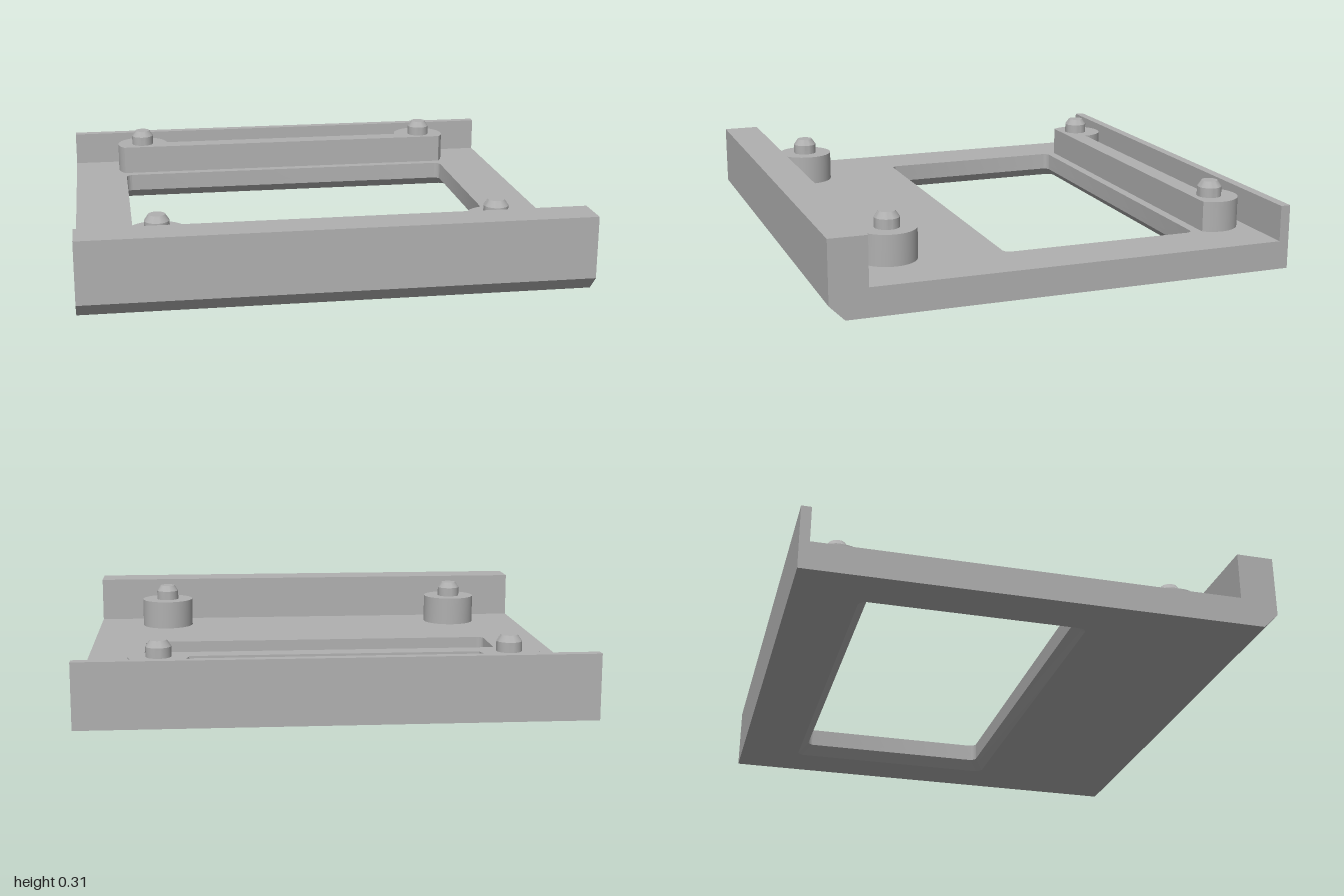
import * as THREE from 'three';
import { toCreasedNormals } from 'three/addons/utils/BufferGeometryUtils.js';

const PLATE_TOP = 0.115, BOSS_TOP = 0.24;
const WINDOW = { x: 0.765, z0: -0.64, z1: 0.18, r: 0.03, chamfer: 0.04 };

// Shapes are drawn in plan as (x, -z), then extruded upward from y0 to y1.
function extrudeUp(shape, y0, y1) {
  const g = new THREE.ExtrudeGeometry(shape, { depth: y1 - y0, bevelEnabled: false, curveSegments: 24 });
  return g.rotateX(-Math.PI / 2).translate(0, y0, 0);
}

function rectangle(path, x, z0, z1) {
  path.moveTo(-x, -z0);
  path.lineTo(x, -z0);
  path.lineTo(x, -z1);
  path.lineTo(-x, -z1);
  path.closePath();
  return path;
}

function windowPath() {
  const { x, z0, z1, r } = WINDOW, p = new THREE.Path();
  p.absarc(x - r, -z0 - r, r, 0, Math.PI / 2);
  p.absarc(-x + r, -z0 - r, r, Math.PI / 2, Math.PI);
  p.absarc(-x + r, -z1 + r, r, Math.PI, Math.PI * 1.5);
  p.absarc(x - r, -z1 + r, r, Math.PI * 1.5, Math.PI * 2);
  p.closePath();
  return p;
}

export function createModel() {
  const model = new THREE.Group();
  model.name = 'mountingTray';
  const grey = new THREE.MeshStandardMaterial({ color: 0xb0b0b0 });
  grey.name = 'plain grey';

  function add(name, geometry, x = 0, y = 0, z = 0) {
    const mesh = new THREE.Mesh(toCreasedNormals(geometry, 0.5), grey);
    mesh.name = name;
    mesh.position.set(x, y, z);
    model.add(mesh);
  }

  // Base plate in layers: chamfered window edge, solid web, recessed top
  function plateLayer(y0, y1, recessed) {
    const shape = rectangle(new THREE.Shape(), 1, -0.9, 0.79);
    shape.holes.push(windowPath());
    if (recessed) shape.holes.push(rectangle(new THREE.Path(), 0.31, -0.89, -0.76));
    return extrudeUp(shape, y0, y1);
  }
  const lower = plateLayer(0, WINDOW.chamfer, false);
  const pos = lower.attributes.position;
  const zc = (WINDOW.z0 + WINDOW.z1) / 2, hz = (WINDOW.z1 - WINDOW.z0) / 2;
  for (let i = 0; i < pos.count; i++) {
    // Widen the window at the underside
    const x = pos.getX(i), dz = pos.getZ(i) - zc;
    if (pos.getY(i) < 0.001 && Math.abs(x) < 0.8 && Math.abs(dz) < hz + 0.01) {
      pos.setX(i, x * (1 + WINDOW.chamfer / WINDOW.x));
      pos.setZ(i, zc + dz * (1 + WINDOW.chamfer / hz));
    }
  }
  add('plateBottom', lower);
  add('plateMiddle', plateLayer(WINDOW.chamfer, 0.06, false));
  add('plateTop', plateLayer(0.06, PLATE_TOP, true));

  // Tall front lip with a chamfered lower edge, profile in (-z, y)
  const lip = new THREE.Shape([[-0.79, 0], [-0.79, 0.31], [-0.94, 0.31], [-0.94, 0.06], [-0.88, 0]]
    .map(([a, b]) => new THREE.Vector2(a, b)));
  add('frontLip', new THREE.ExtrudeGeometry(lip, { depth: 2, bevelEnabled: false })
    .rotateY(Math.PI / 2).translate(-1, 0, 0));

  // Thin back wall
  add('backWall', new THREE.BoxGeometry(2, 0.26, 0.04), 0, 0.13, -0.92);

  // Rear rail with a rounded boss at each end, cut flat at the front
  const rail = new THREE.Shape(), r = 0.117, cut = Math.asin(0.075 / r), join = 0.043;
  rail.absarc(0.68, 0.755, r, -cut, Math.PI - join);
  rail.absarc(-0.68, 0.755, r, join, Math.PI + cut);
  rail.closePath();
  add('rearRail', extrudeUp(rail, PLATE_TOP, BOSS_TOP));

  // Front bosses, and a chamfered locating pin on every boss
  const pinProfile = [[0.05, 0], [0.05, 0.04], [0.033, 0.065], [0, 0.065]]
    .map(([a, b]) => new THREE.Vector2(a, b));
  for (const side of [-1, 1]) {
    const name = side > 0 ? 'Left' : 'Right';
    add('frontBoss' + name, new THREE.CylinderGeometry(r, r, BOSS_TOP - PLATE_TOP, 48),
      side * 0.68, (BOSS_TOP + PLATE_TOP) / 2, 0.628);
    add('frontPin' + name, new THREE.LatheGeometry(pinProfile, 32), side * 0.68, BOSS_TOP, 0.628);
    add('rearPin' + name, new THREE.LatheGeometry(pinProfile, 32), side * 0.68, BOSS_TOP, -0.755);
  }
  return model;
}
